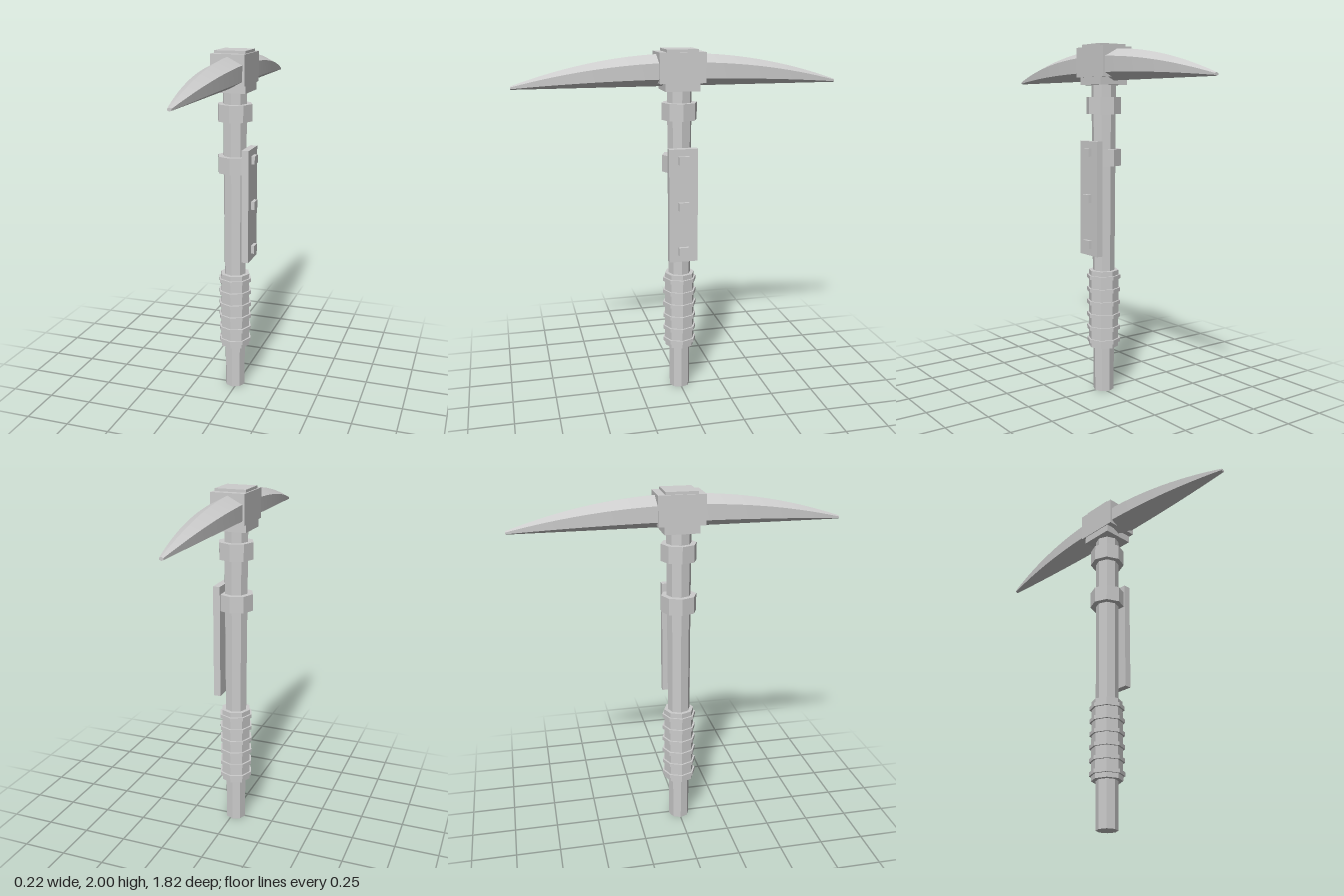
import * as THREE from 'three';
import { toCreasedNormals } from 'three/addons/utils/BufferGeometryUtils.js';

const CX = -0.015; // handle axis

export function createModel() {
  const model = new THREE.Group();
  model.name = 'pickaxe';
  const grey = new THREE.MeshStandardMaterial({ color: 0xcccccc });
  grey.name = 'light grey';

  const add = (name, geometry) => {
    const mesh = new THREE.Mesh(geometry, grey);
    mesh.name = name;
    model.add(mesh);
  };
  // Eight-sided piece of the handle between two heights
  const octagon = (name, y0, y1, rBottom, rTop = rBottom) => {
    const g = new THREE.CylinderGeometry(rTop, rBottom, y1 - y0, 8).toNonIndexed();
    g.computeVertexNormals();
    add(name, g.translate(CX, (y0 + y1) / 2, 0));
  };
  const box = (name, x0, x1, y0, y1, halfZ, z = 0) =>
    add(name, new THREE.BoxGeometry(x1 - x0, y1 - y0, halfZ * 2)
      .translate((x0 + x1) / 2, (y0 + y1) / 2, z));

  // Handle with grip, ribs and collars
  octagon('shaft', 0, 1.82, 0.06, 0.07);
  octagon('grip', 0.265, 0.72, 0.087);
  for (let i = 0; i < 6; i++) {
    const y = 0.303 + i * 0.0756;
    octagon('gripRib', y - 0.011, y + 0.011, 0.098);
  }
  octagon('lowerCollar', 1.325, 1.42, 0.1);
  octagon('upperCollar', 1.615, 1.71, 0.1);

  // Side plate with its three studs
  box('sidePlate', 0.05, 0.09, 0.815, 1.465, 0.082);
  for (const y of [0.88, 1.142, 1.403]) box('plateStud', 0.085, 0.11, y - 0.023, y + 0.023, 0.03);

  // Head block
  box('headSocket', CX - 0.092, CX + 0.092, 1.777, 1.83, 0.097);
  box('headBlock', CX - 0.096, CX + 0.096, 1.82, 1.985, 0.129);
  box('headCap', CX - 0.087, CX + 0.087, 1.98, 2, 0.088);

  // Both curved picks as one body of six-sided cross-sections
  add('picks', pickGeometry());
  return model;
}

function pickGeometry() {
  const half = 0.91, steps = 32, sides = 6;
  const points = [], index = [];
  for (let i = 0; i <= steps; i++) {
    const t = (i / steps) * 2 - 1;
    const k = 1 - t * t;
    const width = 0.011 + 0.074 * k;
    const height = 0.018 + 0.157 * k;
    for (let j = 0; j < sides; j++) {
      const a = (j / sides) * Math.PI * 2;
      points.push(
        CX + (Math.sin(a) / Math.sin(Math.PI / 3)) * width,
        1.8 + height * (0.5 + 0.5 * Math.cos(a)),
        t * half);
    }
  }
  for (let i = 0; i < steps; i++) {
    for (let j = 0; j < sides; j++) {
      const a = i * sides + j, b = i * sides + (j + 1) % sides;
      index.push(a, a + sides, b, b, a + sides, b + sides);
    }
  }
  // Blunt tips
  const last = steps * sides;
  for (let j = 1; j < sides - 1; j++) {
    index.push(0, j, j + 1);
    index.push(last, last + j + 1, last + j);
  }
  const g = new THREE.BufferGeometry();
  g.setAttribute('position', new THREE.Float32BufferAttribute(points, 3));
  g.setIndex(index);
  return toCreasedNormals(g, 0.4);
}
